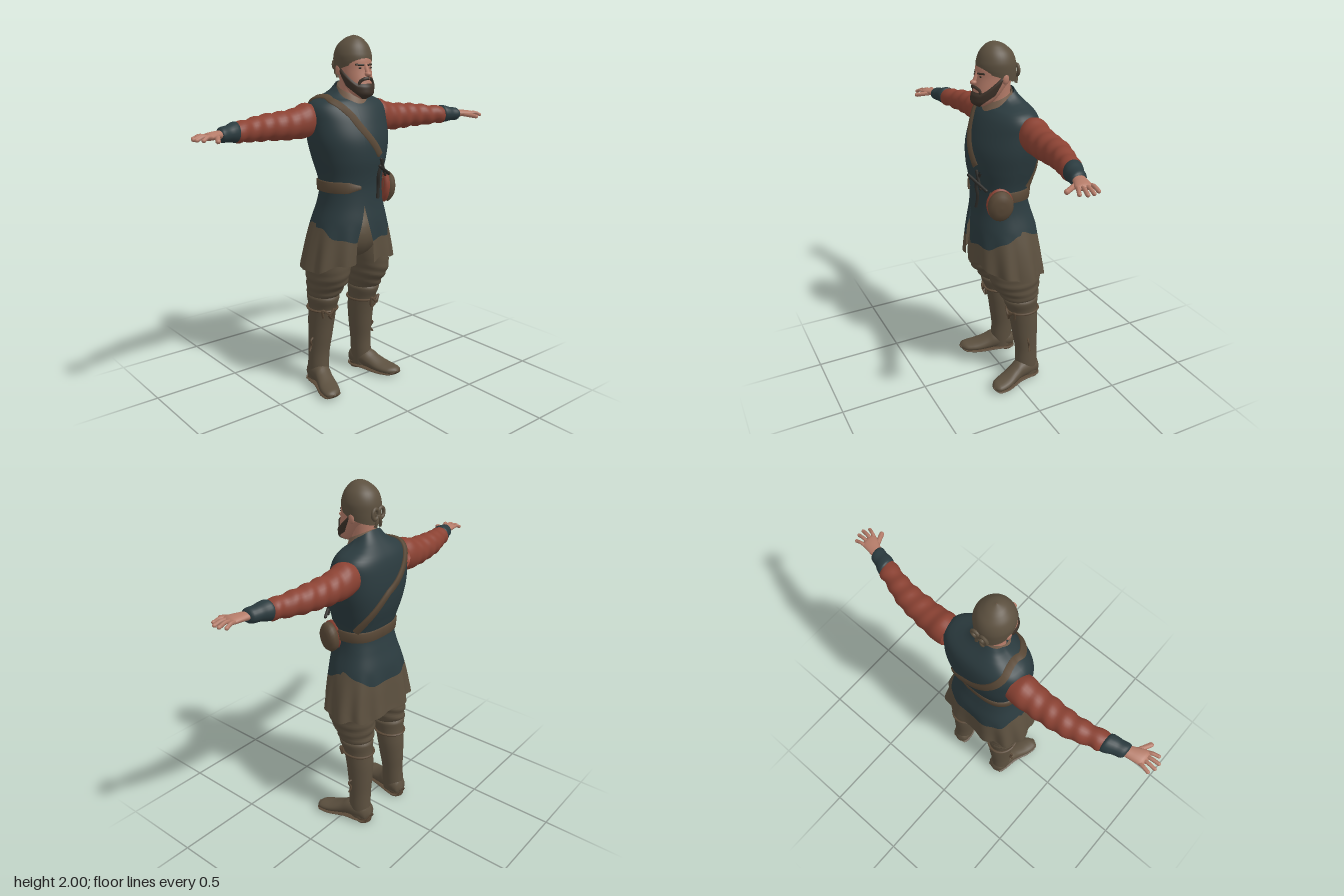
import * as THREE from 'three';

const { sin, cos, abs, min, max, sign, PI } = Math;
const mat = (name, color) => new THREE.MeshStandardMaterial({ name, color, side: THREE.DoubleSide });
const teal = mat('teal cloth', 0x2b3b3f), brown = mat('brown cloth', 0x5c503f), red = mat('red cloth', 0x8b4233);
const skin = mat('skin', 0xb57c69), hair = mat('dark hair', 0x3d3229), leather = mat('leather', 0x5a4937);
const linen = mat('linen', 0x7c6350), dark = mat('dark metal', 0x2b2a27);

const clamp = (x) => min(1, max(0, x));

// Smooth curve through rows [key, value, value...]
function sample(rows, k) {
  let i = 0;
  while (i < rows.length - 2 && k > rows[i + 1][0]) i++;
  const slope = (j, c) => {
    const a = rows[max(0, j - 1)], b = rows[min(rows.length - 1, j + 1)];
    return (b[c] - a[c]) / (b[0] - a[0]);
  };
  const A = rows[i], B = rows[i + 1], h = B[0] - A[0], t = (k - A[0]) / h;
  return A.slice(1).map((_, n) => {
    const c = n + 1, t2 = t * t, t3 = t2 * t;
    return (2 * t3 - 3 * t2 + 1) * A[c] + (t3 - 2 * t2 + t) * h * slope(i, c) + (3 * t2 - 2 * t3) * B[c] + (t3 - t2) * h * slope(i + 1, c);
  });
}

// Surface from f(u, v); closed joins u = 1 to u = 0
function grid(nu, nv, f, closed = true) {
  const pos = [], idx = [], w = closed ? nu : nu + 1;
  for (let j = 0; j <= nv; j++) for (let i = 0; i < w; i++) pos.push(...f(i / nu, j / nv));
  for (let j = 0; j < nv; j++) for (let i = 0; i < nu; i++) {
    const a = j * w + i, b = j * w + (i + 1) % w;
    idx.push(a, b, a + w, b, b + w, a + w);
  }
  const g = new THREE.BufferGeometry();
  g.setAttribute('position', new THREE.Float32BufferAttribute(pos, 3));
  g.setIndex(idx);
  g.computeVertexNormals();
  return g;
}

// Point on an upright form with rows [y, cx, cz, a, b, tilt]; angle 0 faces front
function onForm(rows, th, y, off = 0, back = 2) {
  const [cx, cz, a, b, tilt = 0] = sample(rows, y);
  const p = cos(th) < 0 ? 2 / back : 1, pw = (v) => sign(v) * abs(v) ** p;
  return [cx + (max(0, a) + off) * pw(sin(th)), y + tilt * cos(th), cz + (max(0, b) + off) * pw(cos(th))];
}
const loft = (rows, nu, nv, wave = () => 0) => grid(nu, nv, (u, v) => {
  const y = rows[0][0] + v * (rows.at(-1)[0] - rows[0][0]);
  return onForm(rows, u * 2 * PI, y, wave(u * 2 * PI, y));
});
// Sideways form with rows [x, cy, cz, ry, rz]
const loftX = (rows, nu, nv, wave = () => 0) => grid(nu, nv, (u, v) => {
  const x = rows[0][0] + v * (rows.at(-1)[0] - rows[0][0]), th = u * 2 * PI;
  const [cy, cz, ry, rz] = sample(rows, x), w = wave(th, x);
  return [x, cy + (max(0, ry) + w) * cos(th), cz + (max(0, rz) + w) * sin(th)];
});
const tube = (pts, r, n = 16) => new THREE.TubeGeometry(new THREE.CatmullRomCurve3(pts.map((p) => new THREE.Vector3(...p))), n, r, 6);
const ball = (x, y, z, a, b, c) => new THREE.SphereGeometry(1, 16, 12).scale(a, b, c).translate(x, y, z);
function rod(a, b, r) {
  const A = new THREE.Vector3(...a), B = new THREE.Vector3(...b), d = B.clone().sub(A);
  const q = new THREE.Quaternion().setFromUnitVectors(new THREE.Vector3(0, 1, 0), d.clone().normalize());
  const c = A.add(B).multiplyScalar(0.5);
  return new THREE.CapsuleGeometry(r, d.length(), 4, 8).applyQuaternion(q).translate(c.x, c.y, c.z);
}
function mirrored(g) {
  const m = g.clone().scale(-1, 1, 1), a = m.index.array;
  for (let i = 0; i < a.length; i += 3) [a[i], a[i + 1]] = [a[i + 1], a[i]];
  m.computeVertexNormals();
  return m;
}

// Tunic outline
const TUNIC = [
  [0.7, 0, -0.01, 0.288, 0.198, 0], [0.8, 0, -0.005, 0.27, 0.193, 0], [0.9, 0, -0.002, 0.248, 0.187, 0],
  [1.0, 0, 0.002, 0.221, 0.177, 0], [1.1, 0, 0.01, 0.192, 0.155, 0], [1.19, 0, 0.017, 0.182, 0.142, 0],
  [1.25, 0, 0.012, 0.188, 0.152, 0], [1.35, 0, 0.005, 0.214, 0.174, 0], [1.45, 0, -0.004, 0.236, 0.179, 0],
  [1.55, 0, -0.018, 0.24, 0.162, 0], [1.62, 0, -0.028, 0.236, 0.138, 0], [1.66, 0, -0.03, 0.2, 0.112, -0.004],
  [1.69, 0, -0.012, 0.115, 0.085, -0.025], [1.72, 0, -0.005, 0.078, 0.064, -0.04]];
const body = (th, y, off = 0) => onForm(TUNIC, th, y, off + 0.011 * clamp((1 - y) / 0.25) * cos(11 * th), 2.7);
const slit = (u, y) => { const g = 0.2 * clamp((1.1 - y) / 0.2); return -0.16 + g + u * (2 * PI - 2 * g); };
const split = (th) => 0.905 + 0.075 * sin(th) ** 4 + (cos(th) < 0 ? 0.02 : 0) + 0.006 * sin(9 * th);
const hem = (th) => 0.725 + 0.06 * max(0, cos(th)) ** 2 + 0.008 * sin(7 * th);
const panel = (lo, hi, nv) => grid(110, nv, (u, v) => {
  const t0 = u * 2 * PI - 0.16, y = lo(t0) + v * (hi(t0) - lo(t0));
  return body(slit(u, y), y);
}, false);

// Strap lying on the tunic along rows [t, angle, y]
function strap(rows, width, thick) {
  const V = (a) => new THREE.Vector3(...a), at = (t) => sample(rows, t);
  const last = rows.at(-1)[0];
  return grid(4, 60, (u, v) => {
    const t = v * last, [th, y] = at(t), p = V(body(th, y));
    const n = V(body(th + 0.01, y)).sub(p).cross(V(body(th, y + 0.004)).sub(p)).normalize();
    const T = V(body(...at(min(last, t + 0.05)))).sub(V(body(...at(max(0, t - 0.05))))).normalize();
    const W = T.cross(n).normalize(), k = Math.round(u * 4);
    return p.addScaledVector(W, (k === 1 || k === 2 ? 0.5 : -0.5) * width).addScaledVector(n, k < 2 ? thick : -0.006).toArray();
  });
}

const HEAD = [
  [1.668, 0, 0.105, 0.008, 0.01], [1.69, 0, 0.1, 0.048, 0.05], [1.72, 0, 0.083, 0.066, 0.07], [1.76, 0, 0.062, 0.079, 0.084],
  [1.82, 0, 0.035, 0.088, 0.1], [1.88, 0, 0.028, 0.09, 0.1], [1.95, 0, 0.025, 0.06, 0.07]];

export function createModel() {
  const root = new THREE.Group();
  const add = (name, geo, m) => {
    const mesh = new THREE.Mesh(geo, m);
    mesh.name = name;
    root.add(mesh);
  };
  const pair = (name, geo, m) => { add(name + 'Left', geo, m); add(name + 'Right', mirrored(geo), m); };

  // Tunic and skirt
  add('tunic', panel(split, () => 1.72, 60), teal);
  add('skirt', panel(hem, split, 16), brown);
  add('collar', loft([[1.64, 0, 0.015, 0.1, 0.085, -0.02], [1.69, 0, 0.01, 0.088, 0.078, -0.03], [1.725, 0, 0.008, 0.08, 0.07, -0.035]], 32, 6), linen);

  // Straps, belt, pouch and dagger
  add('shoulderStrap', strap([[0, 0.3, 1.37], [1, -0.2, 1.52], [2, -0.43, 1.6], [3, -0.8, 1.655], [4, -1.57, 1.677],
    [5, -2.4, 1.645], [6, -2.9, 1.53], [7, -3.5, 1.38], [8, -4.2, 1.24]], 0.036, 0.01), leather);
  add('belt', grid(80, 3, (u, v) => {
    const w = 0.033 * min(1, 0.3 + (1 - u) * 9), k = Math.round(v * 3);
    return body(0.75 + u * 5.25, 1.2 + w * [-1, -0.8, 0.8, 1][k], k % 3 ? 0.011 : -0.003);
  }, false), leather);
  const disc = (pts) => new THREE.LatheGeometry(pts.map((p) => new THREE.Vector2(...p)), 28)
    .rotateZ(-PI / 2).scale(1, 1.18, 0.95).rotateY(-0.25).rotateZ(-0.08).translate(0.187, 1.17, 0.09);
  add('pouchRim', disc([[0, -0.038], [0.062, -0.038], [0.076, -0.028], [0.077, -0.012], [0.06, -0.008]]), red);
  add('pouch', disc([[0.05, -0.014], [0.071, -0.012], [0.073, 0.012], [0.058, 0.032], [0.03, 0.038], [0, 0.04]]), leather);
  add('daggerHandle', rod([0.04, 1.315, 0.205], [0.15, 1.255, 0.155], 0.009), dark);
  add('daggerGuard', rod([0.075, 1.345, 0.175], [0.11, 1.255, 0.17], 0.008), dark);
  add('daggerCord', tube([[0.1, 1.34, 0.165], [0.06, 1.26, 0.172], [0.065, 1.2, 0.165], [0.055, 1.13, 0.172]], 0.009), dark);

  // Arms
  pair('sleeve', loftX([[0.21, 1.56, -0.07, 0.08, 0.076], [0.26, 1.557, -0.068, 0.093, 0.082], [0.32, 1.545, -0.066, 0.082, 0.077],
    [0.4, 1.54, -0.062, 0.076, 0.073], [0.5, 1.54, -0.057, 0.069, 0.067], [0.58, 1.537, -0.043, 0.063, 0.061],
    [0.66, 1.535, -0.02, 0.054, 0.054], [0.715, 1.535, -0.006, 0.05, 0.052], [0.73, 1.535, 0, 0.03, 0.03]], 28, 48,
  (th, x) => 0.0035 * sin(x * 75 + 2 * sin(th + 1)) * clamp((x - 0.24) * 8)), red);
  pair('cuff', loftX([[0.7, 1.54, -0.01, 0.03, 0.03], [0.712, 1.538, -0.006, 0.05, 0.05], [0.74, 1.537, 0.002, 0.049, 0.052],
    [0.77, 1.535, 0.012, 0.041, 0.045], [0.815, 1.533, 0.024, 0.036, 0.041], [0.825, 1.533, 0.027, 0.02, 0.025]], 24, 20), teal);
  pair('palm', loftX([[0.8, 1.535, 0.022, 0.022, 0.03], [0.84, 1.536, 0.035, 0.02, 0.036], [0.88, 1.535, 0.048, 0.019, 0.043],
    [0.905, 1.533, 0.053, 0.015, 0.041], [0.92, 1.532, 0.055, 0.001, 0.02]], 20, 16), skin);
  [[0.018, 0.95, 0.012], [0.042, 0.965, 0.045], [0.064, 0.965, 0.077], [0.084, 0.945, 0.106]].forEach(([z, tx, tz], i) =>
    pair('finger' + (i + 1), tube([[0.89, 1.533, z], [(0.89 + tx) / 2, 1.538, (z + tz) / 2], [tx, 1.526, tz]], 0.01), skin));
  [[0.95, 0.012], [0.965, 0.045], [0.965, 0.077], [0.945, 0.106]].forEach(([x, z], i) =>
    pair('fingertip' + (i + 1), ball(x, 1.526, z, 0.012, 0.01, 0.01), skin));
  pair('thumb', rod([0.85, 1.53, 0.06], [0.885, 1.52, 0.13], 0.013), skin);

  // Trousers
  add('hips', ball(0, 0.93, -0.005, 0.19, 0.16, 0.16), brown);
  pair('trouserLeg', loft([[0.55, 0.15, -0.055, 0.07, 0.085], [0.575, 0.149, -0.055, 0.092, 0.11], [0.61, 0.148, -0.045, 0.094, 0.12],
    [0.65, 0.147, -0.032, 0.102, 0.14], [0.71, 0.145, -0.022, 0.108, 0.15], [0.8, 0.133, -0.018, 0.115, 0.148],
    [0.95, 0.1, -0.01, 0.1, 0.13]], 40, 32, (th, y) => 0.004 * sin(y * 110 + 3 * sin(th)) * clamp((0.75 - y) * 10)), brown);

  // Boots
  pair('bootShaft', loft([[0.03, 0.165, -0.1, 0.054, 0.068], [0.1, 0.164, -0.096, 0.058, 0.068], [0.2, 0.158, -0.095, 0.06, 0.066],
    [0.3, 0.152, -0.09, 0.067, 0.075], [0.4, 0.148, -0.083, 0.074, 0.083], [0.49, 0.148, -0.07, 0.078, 0.09],
    [0.53, 0.15, -0.062, 0.086, 0.1], [0.56, 0.15, -0.06, 0.088, 0.102], [0.575, 0.15, -0.06, 0.07, 0.085]], 32, 36), brown);
  const FOOT = [[-0.175, 0.158, 0.05, 0.002, 0.002], [-0.165, 0.16, 0.06, 0.04, 0.045], [-0.12, 0.163, 0.07, 0.057, 0.058],
    [-0.04, 0.178, 0.07, 0.056, 0.057], [0.0, 0.19, 0.056, 0.056, 0.046], [0.06, 0.21, 0.041, 0.061, 0.033],
    [0.11, 0.225, 0.036, 0.056, 0.026], [0.145, 0.234, 0.034, 0.04, 0.02], [0.162, 0.238, 0.033, 0.003, 0.003]];
  const foot = (squash) => grid(24, 28, (u, v) => {
    const z = -0.175 + v * 0.337, th = u * 2 * PI, [cx, cy, w, h] = sample(FOOT, z);
    return squash ? [cx - (w + 0.004) * sin(th), cy - h + 0.006 + 0.008 * cos(th), z] : [cx - max(0, w) * sin(th), cy + max(0, h) * cos(th), z];
  });
  pair('foot', foot(false), brown);
  pair('sole', foot(true), leather);
  pair('heel', new THREE.CylinderGeometry(0.05, 0.047, 0.035, 20).scale(1, 1, 0.95).translate(0.162, 0.0175, -0.125), leather);
  pair('kneeTie', new THREE.TorusGeometry(0.083, 0.007, 6, 32).rotateX(PI / 2).scale(1, 1, 1.12).translate(0.148, 0.475, -0.073), leather);
  pair('kneeBow', tube([[0.2, 0.44, 0.005], [0.21, 0.49, 0.01], [0.17, 0.465, 0.03], [0.14, 0.49, 0.028], [0.15, 0.43, 0.018], [0.18, 0.46, 0.028]], 0.007, 30), leather);
  pair('bootLace', tube([[0.205, 0.3, -0.08], [0.235, 0.285, -0.07], [0.225, 0.25, -0.08], [0.24, 0.22, -0.075]], 0.006), leather);

  // Head, face and beard
  add('neck', loft([[1.62, 0, 0.0, 0.07, 0.07], [1.7, 0, 0.008, 0.06, 0.063], [1.82, 0, 0.01, 0.068, 0.07]], 24, 8), skin);
  add('head', loft(HEAD, 40, 32), skin);
  add('beard', grid(44, 14, (u, v) => {
    const th = (u - 0.5) * 3.3, top = 1.75 + 0.085 * clamp((abs(th) - 0.7) / 0.9) ** 1.5;
    const low = 1.668 + 0.07 * clamp((abs(th) - 0.8) / 0.85);
    return onForm(HEAD, th, low + v * (top - low), 0.009 * min(1, 6 * (1 - v)));
  }, false), hair);
  pair('moustache', tube([[0, 1.778, 0.151], [0.022, 1.775, 0.146], [0.04, 1.76, 0.132], [0.044, 1.735, 0.13]], 0.009), hair);
  add('nose', rod([0, 1.845, 0.127], [0, 1.803, 0.147], 0.011), skin);
  add('noseTip', ball(0, 1.8, 0.15, 0.018, 0.013, 0.018), skin);
  pair('eye', ball(0.034, 1.831, 0.126, 0.013, 0.005, 0.004), hair);
  pair('brow', rod([0.017, 1.846, 0.131], [0.052, 1.848, 0.114], 0.0055), hair);
  pair('ear', ball(0.09, 1.822, 0.012, 0.012, 0.03, 0.02), skin);

  // Cap with a knot at the back
  add('cap', loft([[1.822, 0, 0.022, 0.096, 0.104, 0.036], [1.86, 0, 0.022, 0.101, 0.106, 0.018], [1.9, 0, 0.021, 0.101, 0.103, 0.004],
    [1.945, 0, 0.023, 0.084, 0.086, 0], [1.978, 0, 0.028, 0.053, 0.055, 0], [1.992, 0, 0.031, 0.03, 0.03, 0], [2, 0, 0.032, 0.001, 0.001, 0]], 40, 28), brown);
  add('capKnot', ball(0, 1.83, -0.085, 0.016, 0.018, 0.014), brown);
  pair('capBow', new THREE.TorusGeometry(0.022, 0.009, 8, 18).scale(1, 1.2, 1).translate(0.024, 1.845, -0.088), brown);
  pair('capTail', tube([[0.004, 1.83, -0.088], [0.015, 1.8, -0.092], [0.02, 1.775, -0.085]], 0.009), brown);
  return root;
}
